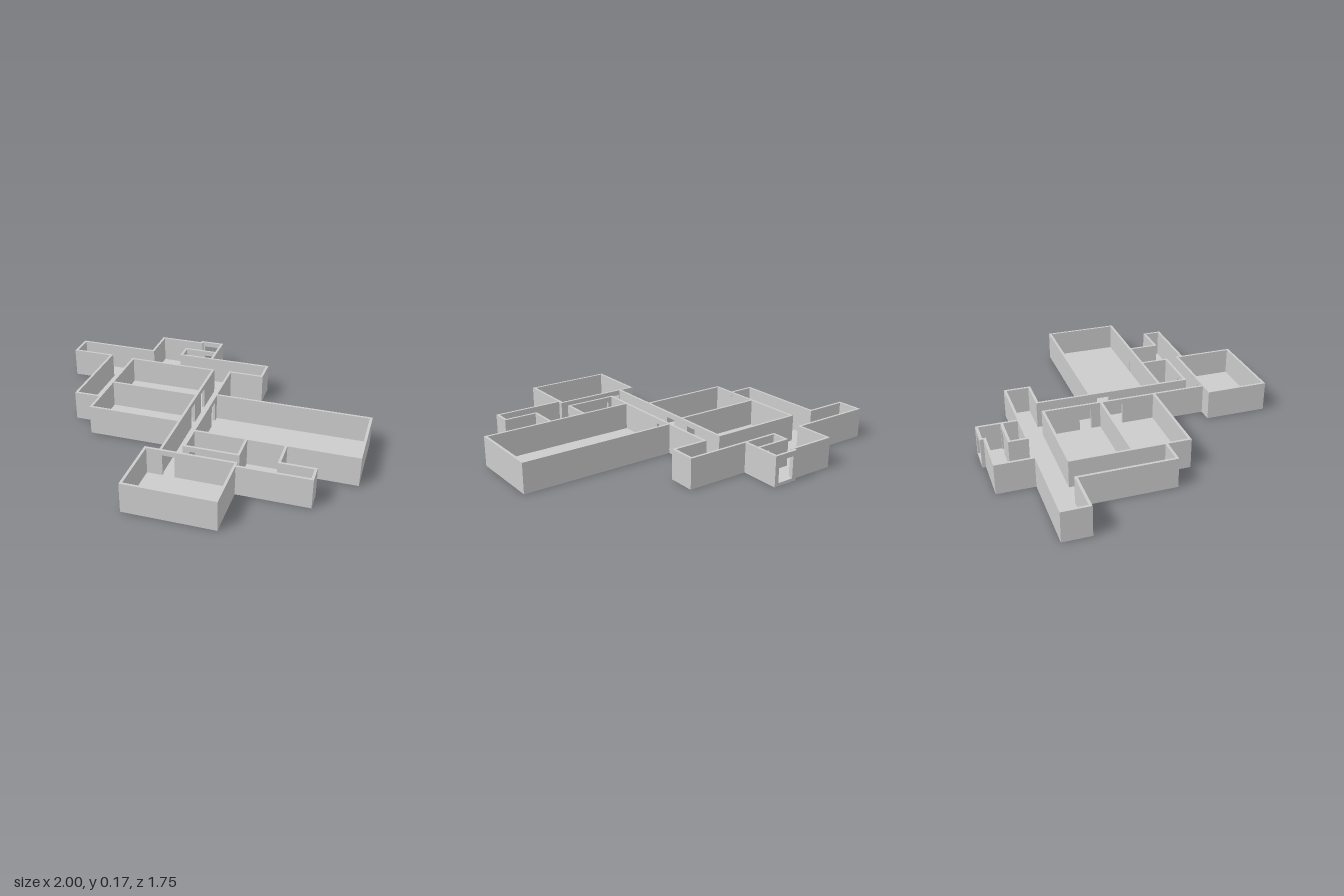
import * as THREE from 'three';

const FLOOR = 0.018;   // slab thickness
const TOP = 0.175;     // wall top
const DOOR = 0.145;    // underside of the lintels
const T = 0.015;       // wall thickness

// Outer edge of the plan as [x, z], clockwise seen from above
const OUTLINE = [
  [-0.51, -0.855], [-0.24, -0.855], [-0.24, -0.875], [-0.09, -0.875],
  [-0.09, -0.64], [0.28, -0.64], [0.28, -0.48], [0.075, -0.48],
  [0.075, -0.18], [1, -0.18], [1, 0.27], [0.6, 0.27],
  [0.6, 0.43], [0.795, 0.43], [0.795, 0.545], [0.385, 0.545],
  [0.385, 0.87], [-0.135, 0.87], [-0.135, 0.5], [-0.05, 0.5],
  [-0.05, 0.195], [-0.595, 0.195], [-0.595, 0.06], [-0.75, 0.06],
  [-0.75, -0.48], [-1, -0.48], [-1, -0.64], [-0.51, -0.64],
];

// Moves every corner of the right-angled outline inward by d
function inset(points, d) {
  const n = points.length;
  const inward = (a, b) => [-Math.sign(b[1] - a[1]) * d, Math.sign(b[0] - a[0]) * d];
  return points.map((p, i) => {
    const a = inward(points[(i + n - 1) % n], p);
    const b = inward(p, points[(i + 1) % n]);
    return [p[0] + a[0] + b[0], p[1] + a[1] + b[1]];
  });
}

export function createModel() {
  const model = new THREE.Group();
  const material = new THREE.MeshStandardMaterial({ color: 0xcccccc });

  // Straight wall between two centre-line points; doors are [from, to] along its axis
  function wall(name, a, b, doors = []) {
    const group = new THREE.Group();
    group.name = name;
    const alongX = Math.abs(b[0] - a[0]) > Math.abs(b[1] - a[1]);
    const k = alongX ? 0 : 1;
    const across = a[1 - k];
    const start = Math.min(a[k], b[k]) - T / 2;
    const end = Math.max(a[k], b[k]) + T / 2;
    const block = (part, from, to, y0, y1) => {
      const length = to - from;
      const geometry = new THREE.BoxGeometry(alongX ? length : T, y1 - y0, alongX ? T : length);
      const mesh = new THREE.Mesh(geometry, material);
      const mid = (from + to) / 2;
      mesh.position.set(alongX ? mid : across, (y0 + y1) / 2, alongX ? across : mid);
      mesh.name = part;
      group.add(mesh);
    };
    let at = start;
    for (const [from, to] of doors) {
      block('wallPanel', at, from, FLOOR, TOP);
      block('doorLintel', from, to, DOOR, TOP);
      at = to;
    }
    block('wallPanel', at, end, FLOOR, TOP);
    model.add(group);
  }

  // Floor slab
  const shape = new THREE.Shape(OUTLINE.map(([x, z]) => new THREE.Vector2(x, -z)));
  const slab = new THREE.ExtrudeGeometry(shape, { depth: FLOOR, bevelEnabled: false });
  slab.rotateX(-Math.PI / 2);
  const floor = new THREE.Mesh(slab, material);
  floor.name = 'floor';
  model.add(floor);

  // Outer walls, with the entrance in the back and doors where rooms meet the corridor
  const outerDoors = { 2: [[-0.215, -0.115]] };
  const corners = inset(OUTLINE, T / 2);
  corners.forEach((p, i) =>
    wall('outerWall', p, corners[(i + 1) % corners.length], outerDoors[i]));

  // Two rooms to the west of the corridor
  wall('westRoomsCorridorWall', [-0.043, -0.48], [-0.043, 0.19], [[-0.27, -0.2], [-0.08, -0.01]]);
  wall('westRoomsBackWall', [-0.588, -0.48], [-0.043, -0.48]);
  wall('westRoomsOuterWall', [-0.588, -0.48], [-0.588, 0.06]);
  wall('westRoomsDivider', [-0.588, -0.138], [-0.043, -0.138]);

  // Large east room
  wall('eastRoomCorridorWall', [0.068, -0.18], [0.068, 0.263], [[-0.13, -0.06]]);
  wall('eastRoomFrontWall', [0.068, 0.263], [0.6, 0.263]);

  // Small room in front of the large one
  wall('storeCorridorWall', [0.068, 0.263], [0.068, 0.43]);
  wall('storeFrontWall', [0.068, 0.43], [0.37, 0.43], [[0.1, 0.16]]);
  wall('storeSideWall', [0.37, 0.263], [0.37, 0.43]);

  // Front room
  wall('frontRoomBackWall', [-0.128, 0.508], [0.378, 0.508], [[-0.03, 0.04]]);
  wall('frontRoomSideWall', [0.378, 0.508], [0.378, 0.54]);

  // Closet beside the entrance
  wall('closetBackWall', [-0.303, -0.73], [-0.098, -0.73], [[-0.17, -0.115]]);
  wall('closetSideWall', [-0.303, -0.73], [-0.303, -0.64]);
  wall('closetFrontWall', [-0.303, -0.633], [-0.098, -0.633]);

  return model;
}
